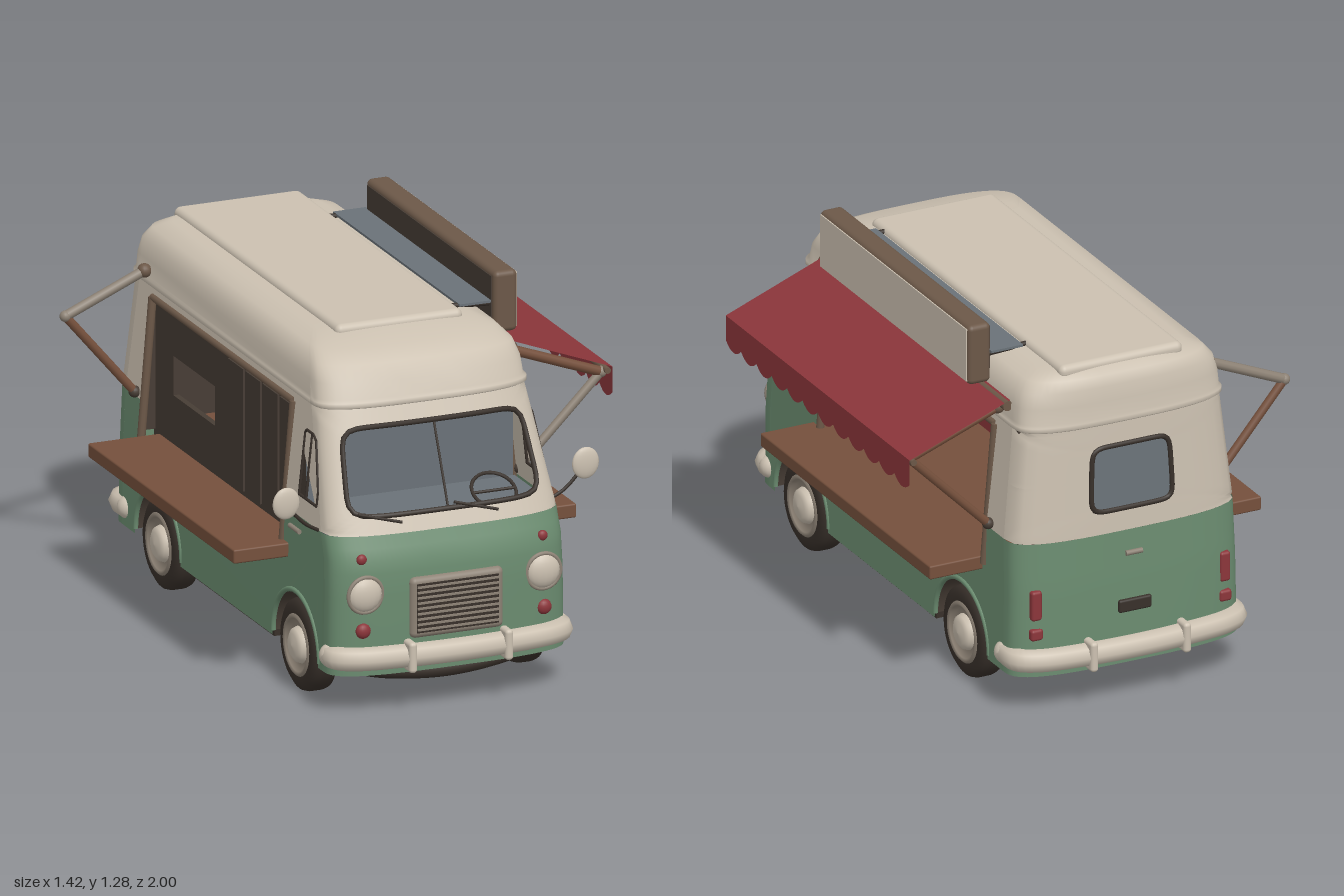
import * as THREE from 'three';
import { RoundedBoxGeometry } from 'three/addons/geometries/RoundedBoxGeometry.js';

const mat = (name, color) => {
  const m = new THREE.MeshStandardMaterial({ color, side: THREE.DoubleSide });
  m.name = name;
  return m;
};

// Body profile by height: y, half width, front z, back z
const BOT = 0.135;
const PROFILE = [
  [BOT, 0.42, 0.945, -0.945], [0.4, 0.4156, 0.95, -0.943], [0.52, 0.413, 0.94, -0.937],
  [0.6, 0.411, 0.907, -0.933], [0.98, 0.37, 0.737, -0.915], [0.985, 0.377, 0.743, -0.92],
  [1.0, 0.377, 0.741, -0.92], [1.008, 0.37, 0.73, -0.914], [1.06, 0.366, 0.715, -0.91],
  [1.11, 0.353, 0.68, -0.903], [1.145, 0.323, 0.61, -0.89], [1.166, 0.262, 0.5, -0.86],
  [1.178, 0.001, 0.42, -0.8],
];
const CORNER = 0.12;

function prof(y) {
  let i = 0;
  while (i < PROFILE.length - 2 && y > PROFILE[i + 1][0]) i++;
  const a = PROFILE[i], b = PROFILE[i + 1], t = (y - a[0]) / (b[0] - a[0]);
  return [1, 2, 3].map((k) => a[k] + (b[k] - a[k]) * t);
}

// Point on the rounded front (dir 1) or rear (dir -1) end; a runs from side to side
function surf(a, y, dir) {
  const [hw, zf, zb] = prof(y), s = Math.sin(a);
  const depth = CORNER * (Math.pow(Math.max(0, Math.cos(a)), 2 / 3) - 1);
  return [Math.sign(s) * hw * Math.pow(Math.abs(s), 2 / 3), y, dir > 0 ? zf + depth : zb - depth];
}
const endZ = (x, y, dir) => {
  const [hw, zf, zb] = prof(y);
  const depth = CORNER * (Math.cbrt(1 - Math.abs(x / hw) ** 3) - 1);
  return dir > 0 ? zf + depth : zb - depth;
};

function grid(nu, nv, fn) {
  const pos = [], idx = [];
  for (let j = 0; j <= nv; j++) for (let i = 0; i <= nu; i++) pos.push(...fn(i, j));
  for (let j = 0; j < nv; j++) for (let i = 0; i < nu; i++) {
    const p = j * (nu + 1) + i, q = p + nu + 1;
    idx.push(p, p + 1, q, p + 1, q + 1, q);
  }
  const g = new THREE.BufferGeometry();
  g.setAttribute('position', new THREE.Float32BufferAttribute(pos, 3));
  g.setIndex(idx);
  g.computeVertexNormals();
  return g;
}
const points = (list) => list.map((p) => new THREE.Vector2(...p));

export function createModel() {
  const green = mat('green paint', 0x6b8c70), cream = mat('cream paint', 0xccc1b1);
  const red = mat('red', 0x8c363b), wood = mat('brown wood', 0x75503c);
  const glass = mat('grey glass', 0x6a7278), dark = mat('dark interior', 0x473d35);
  const black = mat('black rubber', 0x38302a), metal = mat('dull metal', 0x8d8275);
  const frame = mat('weathered brown frame', 0x6c5848);

  const root = new THREE.Group(), van = new THREE.Group();
  root.name = 'foodVan';
  van.name = 'van';
  van.position.x = -0.03;
  root.add(van);

  const add = (name, geo, m, x = 0, y = 0, z = 0) => {
    const mesh = new THREE.Mesh(geo, m);
    mesh.name = name;
    mesh.position.set(x, y, z);
    van.add(mesh);
    return mesh;
  };
  // Box given by its extents
  const box = (name, m, x0, x1, y0, y1, z0, z1, r = 0) => {
    const s = [x1 - x0, y1 - y0, z1 - z0];
    const g = r ? new RoundedBoxGeometry(...s, 3, r) : new THREE.BoxGeometry(...s);
    return add(name, g, m, (x0 + x1) / 2, (y0 + y1) / 2, (z0 + z1) / 2);
  };
  const tube = (name, m, pts, r, closed = false) => add(name, new THREE.TubeGeometry(
    new THREE.CatmullRomCurve3(pts.map((p) => new THREE.Vector3(...p)), closed), 64, r, 8, closed), m);
  const rod = (name, m, a, b, r) => {
    const va = new THREE.Vector3(...a), vb = new THREE.Vector3(...b), d = vb.clone().sub(va);
    const mesh = add(name, new THREE.CylinderGeometry(r, r, d.length(), 10), m);
    mesh.position.copy(va.add(vb).multiplyScalar(0.5));
    mesh.quaternion.setFromUnitVectors(new THREE.Vector3(0, 1, 0), d.normalize());
  };
  const ball = (name, m, p, r) => add(name, new THREE.SphereGeometry(r, 16, 12), m, ...p);

  // Front and rear ends: green below, cream above around a rounded window
  const N = 64;
  const winPoint = (i, k, a0, hy, cy, dir) => {
    const t = (i / N) * Math.PI * 2, c = Math.cos(t), s = Math.sin(t);
    const n = Math.pow(c ** 6 + s ** 6, 1 / 6), m = Math.max(Math.abs(c), Math.abs(s));
    const ia = (c / n) * a0, iy = cy + (s / n) * hy;
    const oa = (c / m) * Math.PI / 2, oy = 0.79 + (s / m) * 0.19;
    return surf(ia + (oa - ia) * k, iy + (oy - iy) * k, dir);
  };
  for (const [dir, side, a0, hy] of [[1, 'front', 0.88, 0.134], [-1, 'rear', 0.23, 0.112]]) {
    const rows = [BOT, 0.4, 0.48, 0.52, 0.56, 0.6];
    add(side + 'LowerShell', grid(32, 5, (i, j) => surf((i / 32 - 0.5) * Math.PI, rows[j], dir)), green);
    add(side + 'UpperShell', grid(N, 6, (i, j) => winPoint(i, j / 6, a0, hy, 0.79, dir)), cream);
    tube(side + 'WindowSeal', black, Array.from({ length: N }, (_, i) => winPoint(i, 0, a0, hy, 0.79, dir)), 0.009, true);
  }
  add('rearWindow', grid(N, 4, (i, j) => winPoint(i, 0, 0.23 * j / 4, 0.112 * j / 4, 0.79, -1)), glass);

  // Roof lofted from the gutter up, with a raised centre panel
  const roofRows = PROFILE.slice(4);
  add('roof', grid(50, roofRows.length - 1, (i, j) => {
    const y = roofRows[j][0];
    if (i <= 24 || i === 50) return surf((i % 50 / 24 - 0.5) * Math.PI, y, 1);
    return surf((0.5 - (i - 25) / 24) * Math.PI, y, -1);
  }), cream);
  box('roofPanel', cream, -0.225, 0.225, 1.14, 1.188, -0.86, 0.49, 0.022);

  // Side panels, drawn in z and y, then leaned onto the body profile
  const edgeF = (y) => prof(y)[1] - CORNER, edgeB = (y) => prof(y)[2] + CORNER;
  const Z0 = -0.68, Z1 = 0.48, WHEELS = [0.6, -0.53], ARCH = 0.187;
  const lean = (shape, s) => {
    const g = new THREE.ShapeGeometry(shape, 24), p = g.attributes.position;
    for (let i = 0; i < p.count; i++) {
      const z = p.getX(i), y = p.getY(i);
      p.setXYZ(i, s * prof(y)[0], y, z);
    }
    g.computeVertexNormals();
    return g;
  };
  const lower = new THREE.Shape();
  lower.moveTo(edgeB(0.4), 0.4);
  lower.lineTo(edgeB(BOT), BOT);
  for (const z of [...WHEELS].reverse()) {
    lower.lineTo(z - ARCH, BOT);
    lower.absarc(z, 0.15, ARCH, Math.PI, 0, true);
    lower.lineTo(z + ARCH, BOT);
  }
  for (const y of [BOT, 0.4, 0.48, 0.52, 0.56, 0.6]) lower.lineTo(edgeF(y), y);
  for (const [z, y] of [[Z1, 0.6], [Z1, 0.46], [Z0, 0.46], [Z0, 0.6], [edgeB(0.6), 0.6]]) lower.lineTo(z, y);
  const upper = new THREE.Shape(points([[edgeB(0.6), 0.6], [Z0, 0.6], [Z0, 0.95], [Z1, 0.95], [Z1, 0.6],
    [edgeF(0.6), 0.6], [edgeF(0.98), 0.98], [edgeB(0.98), 0.98]]));
  const doorWin = [[0.595, 0.67], [0.74, 0.67], [0.74, 0.72], [0.685, 0.875], [0.66, 0.89], [0.605, 0.89], [0.595, 0.88]];
  upper.holes.push(new THREE.Path(points(doorWin)));

  for (const s of [1, -1]) {
    const X = (y, o = 0) => s * (prof(y)[0] + o);
    add('lowerSide', lean(lower, s), green);
    add('upperSide', lean(upper, s), cream);
    doorWin.forEach(([z, y], i) => {
      const [z2, y2] = doorWin[(i + 1) % doorWin.length];
      rod('doorWindowSeal', black, [X(y), y, z], [X(y2), y2, z2], 0.005);
    });
    rod('doorWindowBar', black, [X(0.67), 0.67, 0.65], [X(0.89), 0.89, 0.65], 0.005);
    rod('doorHandle', metal, [X(0.555, 0.01), 0.555, 0.56], [X(0.555, 0.01), 0.555, 0.64], 0.008);
    // Serving hatch frame and folding counter
    for (const z of [Z0, Z1]) rod('hatchPost', frame, [X(0.46), 0.46, z], [X(0.95), 0.95, z], 0.014);
    rod('hatchRail', frame, [X(0.95), 0.95, Z0], [X(0.95), 0.95, Z1], 0.012);
    box('counter', wood, Math.min(s * 0.29, s * 0.607), Math.max(s * 0.29, s * 0.607), 0.435, 0.483, -0.67, 0.53, 0.006);
    for (const z of [0.33, -0.28]) {
      rod('counterBracket', black, [X(0.425), 0.427, z], [s * 0.55, 0.43, z], 0.008);
      rod('counterHinge', black, [X(0.39, 0.005), 0.39, z], [X(0.435, 0.005), 0.435, z], 0.01);
    }
    // Wheels with arches
    for (const z of WHEELS) {
      const spin = (name, pts, m) => {
        const w = add(name, new THREE.LatheGeometry(points(pts), 40), m, s * 0.37, 0.155, z);
        w.rotation.z = -s * Math.PI / 2;
      };
      spin('tyre', [[0, -0.045], [0.13, -0.047], [0.15, -0.035], [0.155, -0.02], [0.155, 0.02], [0.15, 0.035], [0.13, 0.047], [0.1, 0.045]], black);
      spin('wheelRim', [[0.106, 0.044], [0.098, 0.052], [0.088, 0.048], [0.08, 0.034], [0.05, 0.034]], metal);
      spin('hubcap', [[0.062, 0.034], [0.056, 0.05], [0.04, 0.06], [0, 0.064]], cream);
      const well = add('wheelWell', new THREE.CylinderGeometry(ARCH, ARCH, 0.13, 24, 1, true, 0, Math.PI), dark, s * 0.352, 0.15, z);
      well.rotation.z = Math.PI / 2;
      const lip = add('wheelArchLip', new THREE.TorusGeometry(ARCH + 0.003, 0.009, 8, 32, Math.PI), green, s * 0.416, 0.15, z);
      lip.rotation.y = Math.PI / 2;
    }
    // Door mirrors
    ball('mirror', cream, [s * 0.53, 0.71, 0.78], 0.052).scale.set(0.92, 1.04, 0.28);
    tube('mirrorArm', black, [[X(0.6), 0.6, 0.77], [s * 0.46, 0.63, 0.775], [s * 0.52, 0.69, 0.775]], 0.006);
    // Front and rear lamps
    const hz = endZ(0.315, 0.415, 1);
    add('headlampRim', new THREE.TorusGeometry(0.06, 0.007, 10, 32), metal, s * 0.315, 0.415, hz + 0.006);
    ball('headlamp', cream, [s * 0.315, 0.415, hz], 0.06).scale.z = 0.5;
    for (const [y, r] of [[0.53, 0.018], [0.29, 0.026]]) ball('indicator', red, [s * 0.32, y, endZ(0.32, y, 1)], r).scale.z = 0.7;
    const rz = endZ(0.345, 0.38, -1);
    box('tailLamp', red, s * 0.345 - 0.019, s * 0.345 + 0.019, 0.335, 0.44, rz - 0.012, rz + 0.02, 0.01);
    box('reflector', red, s * 0.345 - 0.022, s * 0.345 + 0.022, 0.265, 0.305, rz - 0.014, rz + 0.02, 0.01);
    // Bumper overriders and wipers
    for (const d of [1, -1]) box('overrider', cream, s * 0.17 - 0.014, s * 0.17 + 0.014, 0.145, 0.25, d * 0.953 - 0.045, d * 0.953 + 0.045, 0.012);
    rod('wiper', black, [s * 0.17, 0.635, endZ(0.17, 0.635, 1) + 0.01], [s * 0.17 - 0.15, 0.675, endZ(0.1, 0.675, 1) + 0.012], 0.005);
  }

  // Bumpers and the curved apron under the nose
  for (const [d, name, end] of [[1, 'frontBumper', 0.85], [-1, 'rearBumper', 0.81]]) {
    const half = [[0.4, end], [0.395, 0.89], [0.34, 0.925], [0.18, 0.95]];
    const pts = [...half.map(([x, z]) => [-x, 0.195, d * z]), [0, 0.195, d * 0.959], ...half.reverse().map(([x, z]) => [x, 0.195, d * z])];
    tube(name, cream, pts, 0.041);
    for (const s of [1, -1]) ball('bumperEnd', cream, [s * 0.4, 0.195, d * end], 0.041);
  }
  tube('frontApron', black, [[-0.34, 0.15, 0.84], [-0.2, 0.12, 0.86], [0, 0.105, 0.87], [0.2, 0.12, 0.86], [0.34, 0.15, 0.84]], 0.028);

  // Grille, number plate panel and windscreen divider
  box('grilleFrame', metal, -0.165, 0.165, 0.25, 0.458, 0.92, 0.963, 0.02);
  box('grilleBack', black, -0.145, 0.145, 0.27, 0.438, 0.93, 0.965);
  for (let i = 0; i < 9; i++) box('grilleBar', metal, -0.145, 0.145, 0.278 + i * 0.0182, 0.285 + i * 0.0182, 0.94, 0.97);
  box('rearPlate', black, -0.06, 0.06, 0.315, 0.36, -0.955, -0.93, 0.008);
  rod('rearHandle', metal, [-0.03, 0.52, -0.94], [0.03, 0.52, -0.94], 0.009);
  rod('windscreenDivider', black, surf(0, 0.66, 1), surf(0, 0.923, 1), 0.004);

  // Cab interior
  box('bulkhead', dark, -0.365, 0.365, 0.15, 1.02, 0.53, 0.56);
  box('bulkheadLining', glass, -0.365, 0.365, 0.6, 1.02, 0.56, 0.567);
  box('cabBase', dark, -0.3, 0.3, 0.15, 0.45, 0.56, 0.85);
  box('dashboard', glass, -0.37, 0.37, 0.45, 0.625, 0.568, 0.82);
  const steering = add('steeringWheel', new THREE.TorusGeometry(0.075, 0.006, 8, 32), black, 0.21, 0.655, 0.77);
  steering.rotation.x = -1.0;
  rod('steeringSpoke', black, [0.135, 0.655, 0.77], [0.285, 0.655, 0.77], 0.005);

  // Kitchen interior: base with worktop, linings and panelled far wall with a pass-through
  box('kitchenBase', dark, -0.3, 0.3, 0.15, 0.45, -0.84, 0.53);
  box('kitchenWorktop', wood, -0.3, 0.3, 0.45, 0.478, -0.81, 0.53);
  box('kitchenRearLining', dark, -0.365, 0.365, 0.45, 1.02, -0.83, -0.81);
  box('kitchenCeiling', dark, -0.365, 0.365, 0.96, 0.97, -0.81, 0.53);
  box('hatchValance', red, 0.352, 0.36, 0.89, 0.955, Z0, Z1);
  const wall = new THREE.Shape(points([[-0.7, 0.45], [0.53, 0.45], [0.53, 0.97], [-0.7, 0.97]]));
  wall.holes.push(new THREE.Path(points([[-0.55, 0.65], [-0.21, 0.65], [-0.21, 0.785], [-0.55, 0.785]])));
  const wallMesh = add('kitchenWall', new THREE.ExtrudeGeometry(wall, { depth: 0.02, bevelEnabled: false }), dark, -0.335, 0, 0);
  wallMesh.rotation.y = -Math.PI / 2;
  for (let i = 0; i < 4; i++) box('wallPanel', dark, -0.362, -0.328, 0.5, 0.92, -0.09 + i * 0.142, 0.035 + i * 0.142);

  // Chassis
  box('chassis', black, -0.31, 0.31, 0.14, 0.18, -0.88, 0.88);
  box('midFloor', black, -0.41, 0.41, 0.125, 0.17, -0.335, 0.405);
  box('rearFloor', black, -0.38, 0.38, 0.15, 0.18, -0.88, -0.72);
  for (const x of [-0.2, 0.2]) box('chassisRail', black, x - 0.025, x + 0.025, 0.108, 0.145, -0.7, 0.78);
  for (const z of [-0.53, -0.2, 0.15, 0.6]) box('crossMember', black, -0.32, 0.32, 0.108, 0.145, z - 0.025, z + 0.025);

  // Awning with scalloped valance
  const A0 = -0.78, A1 = 0.52, count = 12, step = (A1 - A0) / count;
  add('awningSheet', grid(1, 1, (i, j) => [j ? 0.738 : 0.37, j ? 0.932 : 1.072, i ? A1 : A0]), red);
  const val = new THREE.Shape();
  val.moveTo(A0, 0.932);
  val.lineTo(A0, 0.845);
  for (let i = 0; i < count; i++) val.quadraticCurveTo(A0 + (i + 0.5) * step, 0.795, A0 + (i + 1) * step, 0.845);
  val.lineTo(A1, 0.932);
  add('awningValance', new THREE.ShapeGeometry(val, 8), red, 0.738).rotation.y = -Math.PI / 2;
  rod('awningRoller', frame, [0.378, 1.052, -0.78], [0.378, 1.052, 0.53], 0.018);
  rod('awningFrontBar', frame, [0.722, 0.92, A0], [0.722, 0.92, A1], 0.011);

  // Hinged arms: two hold the awning, one is left on the other side
  for (const [s, z, out, upperMat, lowerMat] of [[1, 0.49, 0.71, wood, metal], [1, -0.72, 0.71, wood, wood], [-1, -0.72, 0.665, metal, wood]]) {
    const a = [s * 0.385, 1.03, z], b = [s * out, 0.91, z], c = [s * 0.42, 0.62, z];
    rod('upperArm', upperMat, a, b, 0.017);
    rod('lowerArm', lowerMat, b, c, 0.015);
    ball('armShoulder', frame, a, 0.024);
    ball('armElbow', metal, b, 0.019);
    ball('armFoot', dark, c, 0.02);
  }

  // Roof sign with its mounting plate
  box('signFrame', frame, 0.355, 0.438, 1.07, 1.28, -0.62, 0.44, 0.018);
  box('signFace', cream, 0.433, 0.441, 1.083, 1.268, -0.606, 0.426);
  box('signBack', dark, 0.351, 0.358, 1.09, 1.262, -0.6, 0.42);
  box('signMountPlate', glass, 0.24, 0.356, 1.172, 1.18, -0.62, 0.42);
  for (const z of [0.4, -0.6]) rod('signBracket', black, [0.22, 1.172, z], [0.36, 1.165, z], 0.009);

  return root;
}
